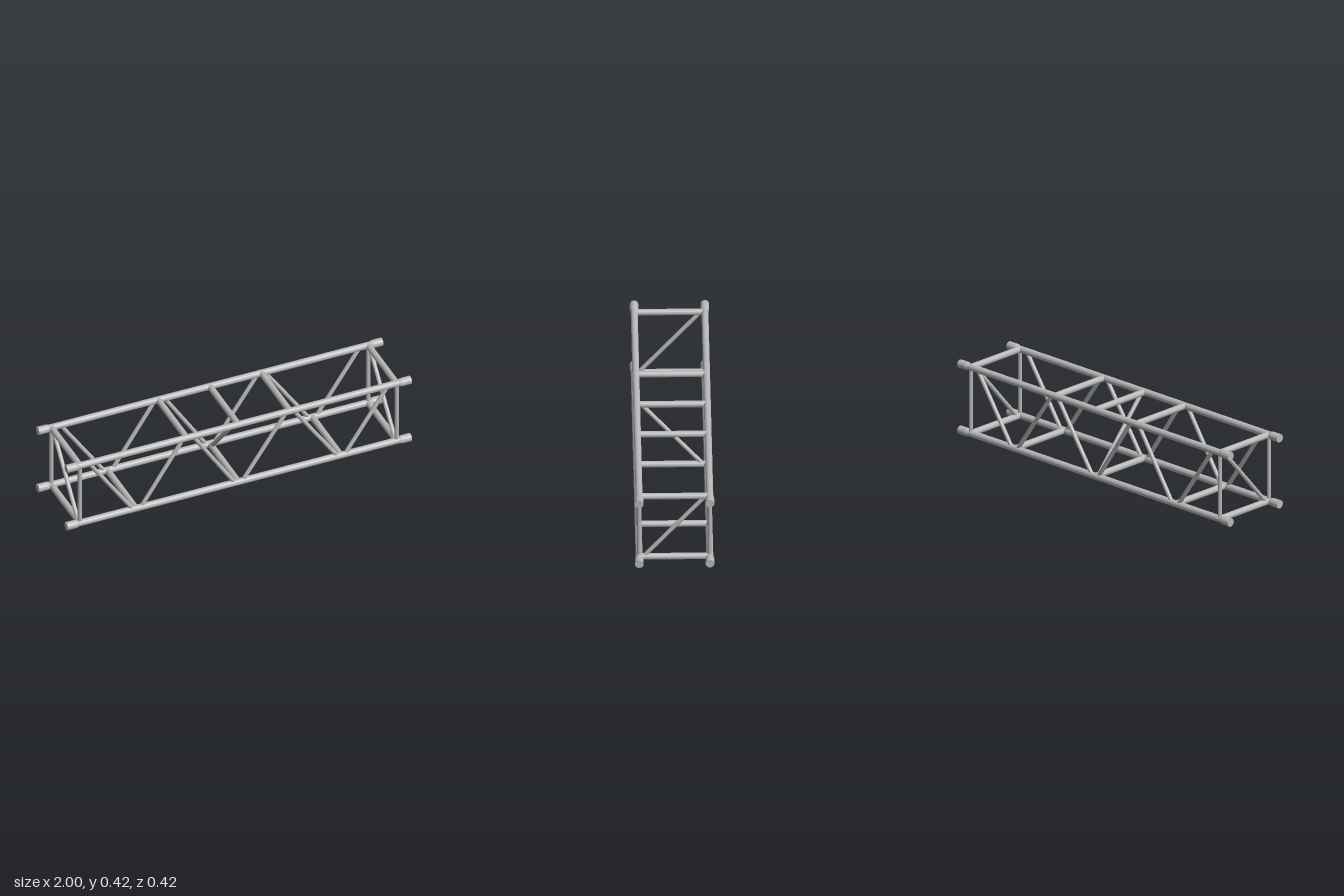
import * as THREE from 'three';

const LOW = 0.0235, HIGH = 0.4, SIDE = 0.188, END = 0.92;

export function createModel() {
  const truss = new THREE.Group();
  truss.name = 'boxTruss';
  const metal = new THREE.MeshStandardMaterial({ color: 0xb8b8b8 });
  metal.name = 'aluminium';

  // Round tube between two points, optionally tapered
  function tube(name, a, b, r, rEnd = r, segments = 16) {
    const from = new THREE.Vector3(...a), to = new THREE.Vector3(...b);
    const dir = to.clone().sub(from);
    const mesh = new THREE.Mesh(new THREE.CylinderGeometry(rEnd, r, dir.length(), segments), metal);
    mesh.position.copy(from).add(to).multiplyScalar(0.5);
    mesh.quaternion.setFromUnitVectors(new THREE.Vector3(0, 1, 0), dir.normalize());
    mesh.name = name;
    truss.add(mesh);
  }

  // Four main chords with thicker tapered couplers at the ends
  for (const z of [-SIDE, SIDE]) {
    for (const y of [LOW, HIGH]) {
      tube('chord', [-0.97, y, z], [0.97, y, z], 0.0187, 0.0187, 24);
      for (const s of [-1, 1]) {
        tube('coupler', [s * 0.945, y, z], [s, y, z], 0.0232, 0.0232, 24);
        tube('couplerTaper', [s * 0.93, y, z], [s * 0.945, y, z], 0.0187, 0.0232, 24);
      }
    }

    // Zigzag bracing on the front and back faces
    const zigzag = [[-0.868, -0.612], [-0.319, -0.566], [-0.264, -0.02], [0.28, 0.024], [0.319, 0.577], [0.871, 0.618]];
    for (const [top, bottom] of zigzag) {
      tube('diagonalBrace', [bottom, LOW, z], [top, HIGH, z], 0.0115);
    }

    // End posts
    for (const x of [-END, END]) tube('endPost', [x, LOW, z], [x, HIGH, z], 0.0115);
  }

  // Crossbars joining front and back chords
  for (const x of [-END, -0.3, 0, 0.3, END]) tube('topCrossbar', [x, HIGH, -SIDE], [x, HIGH, SIDE], 0.0175);
  for (const x of [-END, -0.595, 0, 0.595, END]) tube('bottomCrossbar', [x, LOW, -SIDE], [x, LOW, SIDE], 0.0178);

  // Cross-section braces, the middle one leaning the other way
  for (const [x, s] of [[-END, 1], [0, -1], [END, 1]]) {
    tube('sectionBrace', [x, LOW, s * 0.165], [x, HIGH, -s * 0.165], 0.0115);
  }

  return truss;
}
